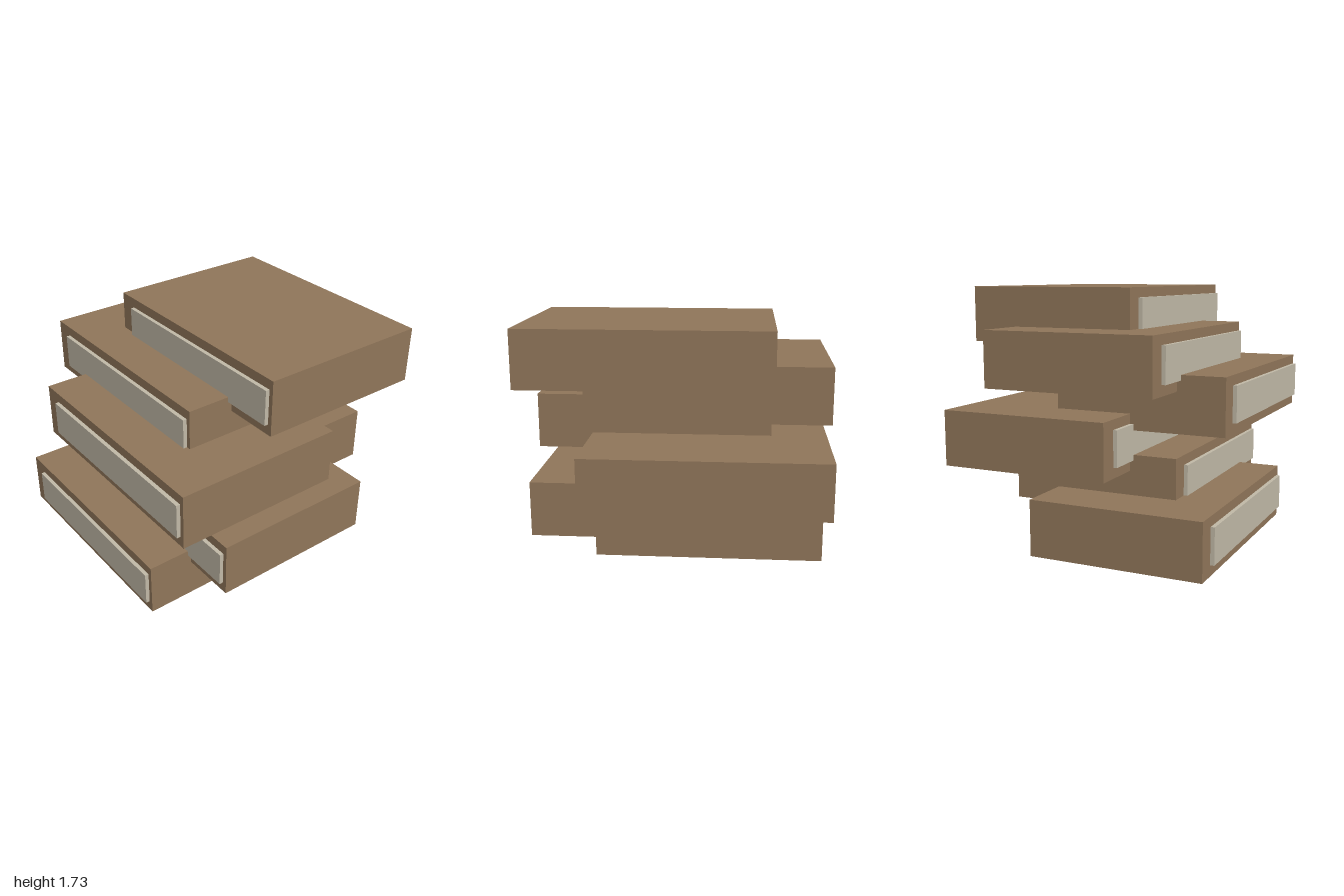
import * as THREE from 'three';

const WIDTH = 1.62, HEIGHT = 0.378, DEPTH = 1.185, STEP = 0.27;

export function createModel() {
  const model = new THREE.Group();
  model.name = 'stackedBlocks';

  const brown = new THREE.MeshStandardMaterial({ color: 0x8f7559 });
  brown.name = 'brown';
  const paleStone = new THREE.MeshStandardMaterial({ color: 0xc0b8a6 });
  paleStone.name = 'paleStone';

  const blockGeometry = new THREE.BoxGeometry(WIDTH, HEIGHT, DEPTH);
  const panelGeometry = new THREE.BoxGeometry(1.455, 0.24, 0.054);

  // Six overlapping storeys: sideways shift alternates, depth steps back in threes
  for (let i = 0; i < 6; i++) {
    const storey = new THREE.Group();
    storey.name = `storey${i + 1}`;
    storey.position.set(
      i % 2 ? 0.19 : -0.19,
      HEIGHT / 2 + i * STEP,
      0.905 - (i % 3) * 0.325 - DEPTH / 2
    );

    const block = new THREE.Mesh(blockGeometry, brown);
    block.name = 'block';

    // Front panel, half sunk into the block and set off towards +x
    const panel = new THREE.Mesh(panelGeometry, paleStone);
    panel.name = 'frontPanel';
    panel.position.set(0.0525, 0.003, DEPTH / 2);

    storey.add(block, panel);
    model.add(storey);
  }
  return model;
}
